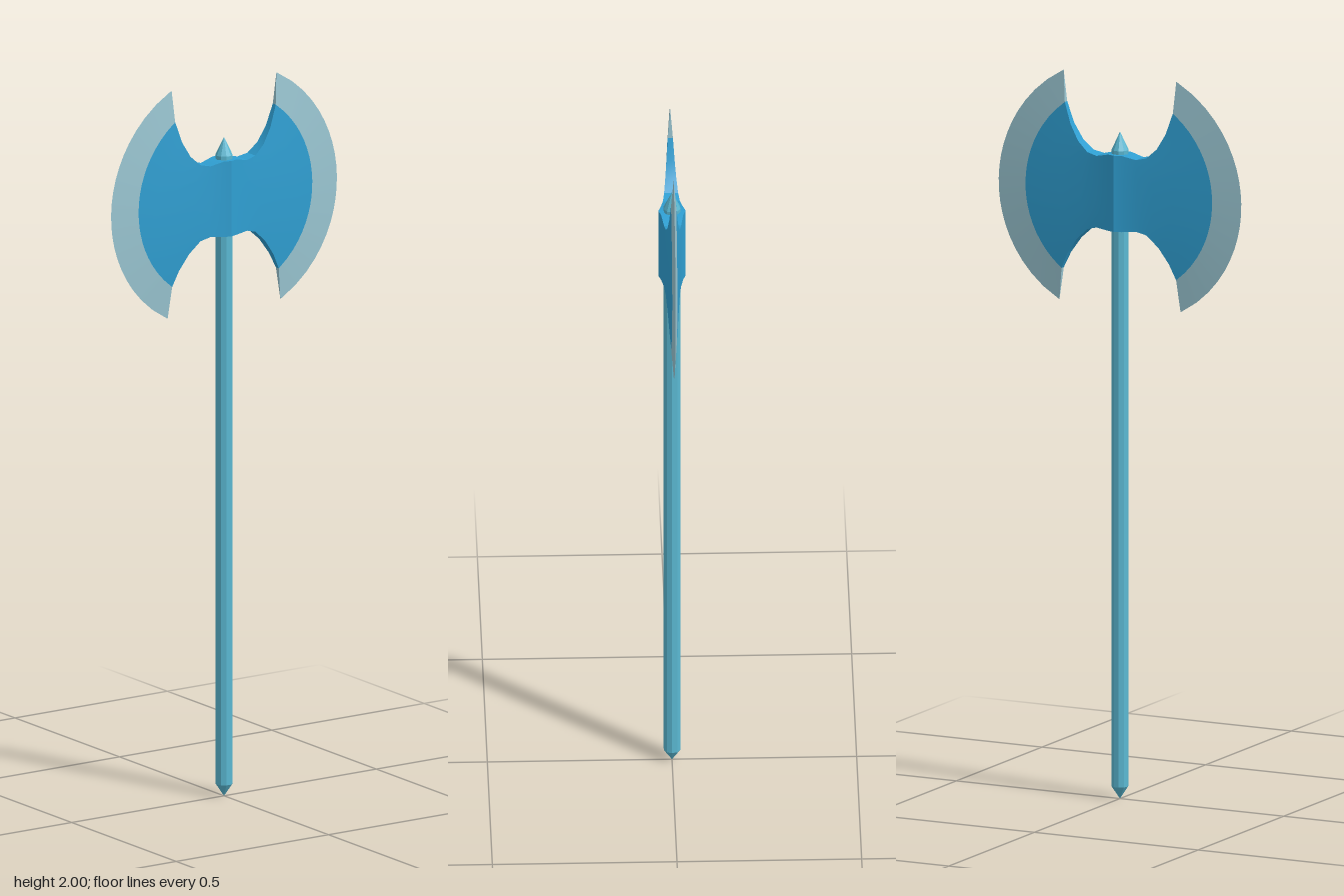
import * as THREE from 'three';
import { toCreasedNormals } from 'three/addons/utils/BufferGeometryUtils.js';

const ROWS = 20;

// Each section: [top x, top y, bottom x, bottom y, outward bulge, half thickness]
const BODY = [
  [0, 1.785, 0, 1.574, 0, 0.037],
  [0.02, 1.785, 0.02, 1.574, 0, 0.03],
  [0.06, 1.776, 0.06, 1.578, 0.005, 0.023],
  [0.09, 1.783, 0.09, 1.57, 0.02, 0.019],
  [0.12, 1.81, 0.125, 1.538, 0.045, 0.015],
  [0.145, 1.853, 0.155, 1.495, 0.08, 0.011],
  [0.165, 1.912, 0.175, 1.452, 0.115, 0.007],
];
const EDGE = [BODY[6], [0.172, 2.0, 0.185, 1.363, 0.192, 0]];

// Circular arc height over a chord, t from -1 to 1
function arc(t, half, bulge) {
  if (bulge === 0) return 0;
  const r = (half * half + bulge * bulge) / (2 * bulge);
  return Math.sqrt(Math.max(0, r * r - half * half * t * t)) - (r - bulge);
}

// Skin closed rings (front going up, back going down) across the sections
function bladeGeometry(sections, side) {
  const pos = [], index = [], ring = 2 * (ROWS + 1);
  for (const [tx, ty, bx, by, bulge, thick] of sections) {
    for (let j = 0; j < ring; j++) {
      const front = j <= ROWS;
      const v = (front ? j : ring - 1 - j) / ROWS;
      const x = bx + (tx - bx) * v + arc(2 * v - 1, (ty - by) / 2, bulge);
      pos.push(side * x, by + (ty - by) * v, front ? thick : -thick);
    }
  }
  for (let i = 0; i < sections.length - 1; i++) {
    for (let j = 0; j < ring; j++) {
      const k = (j + 1) % ring;
      const a = i * ring + j, b = a + ring, c = (i + 1) * ring + k, d = i * ring + k;
      if (side > 0) index.push(a, b, c, a, c, d);
      else index.push(a, c, b, a, d, c);
    }
  }
  const g = new THREE.BufferGeometry();
  g.setAttribute('position', new THREE.Float32BufferAttribute(pos, 3));
  g.setIndex(index);
  return toCreasedNormals(g, 0.35);
}

export function createModel() {
  const group = new THREE.Group();
  const mat = (name, color) => {
    const m = new THREE.MeshStandardMaterial({ color });
    m.name = name;
    return m;
  };
  const blue = mat('blade blue', 0x2f9fd2);
  const steel = mat('edge steel', 0x9ac6d2);
  const teal = mat('handle teal', 0x5ab8d2);
  teal.flatShading = true;

  const add = (name, geometry, material, y = 0) => {
    const m = new THREE.Mesh(geometry, material);
    m.name = name;
    m.position.y = y;
    group.add(m);
    return m;
  };

  // Ten-sided shaft with pointed ends, a corner on each side
  const r = 0.0235;
  const tube = (r1, r2, h) => new THREE.CylinderGeometry(r1, r2, h, 10, 1, true).rotateY(Math.PI / 2);
  add('shaft', tube(r, r, 1.76), teal, 0.915);
  add('topSpike', tube(0, r, 0.05), teal, 1.82);
  add('bottomPoint', tube(r, 0, 0.035), teal, 0.0175);

  // Two mirrored blades with sharpened rims
  for (const side of [1, -1]) {
    const label = side > 0 ? 'left' : 'right';
    add(label + 'Blade', bladeGeometry(BODY, side), blue);
    add(label + 'CuttingEdge', bladeGeometry(EDGE, side), steel);
  }
  return group;
}
